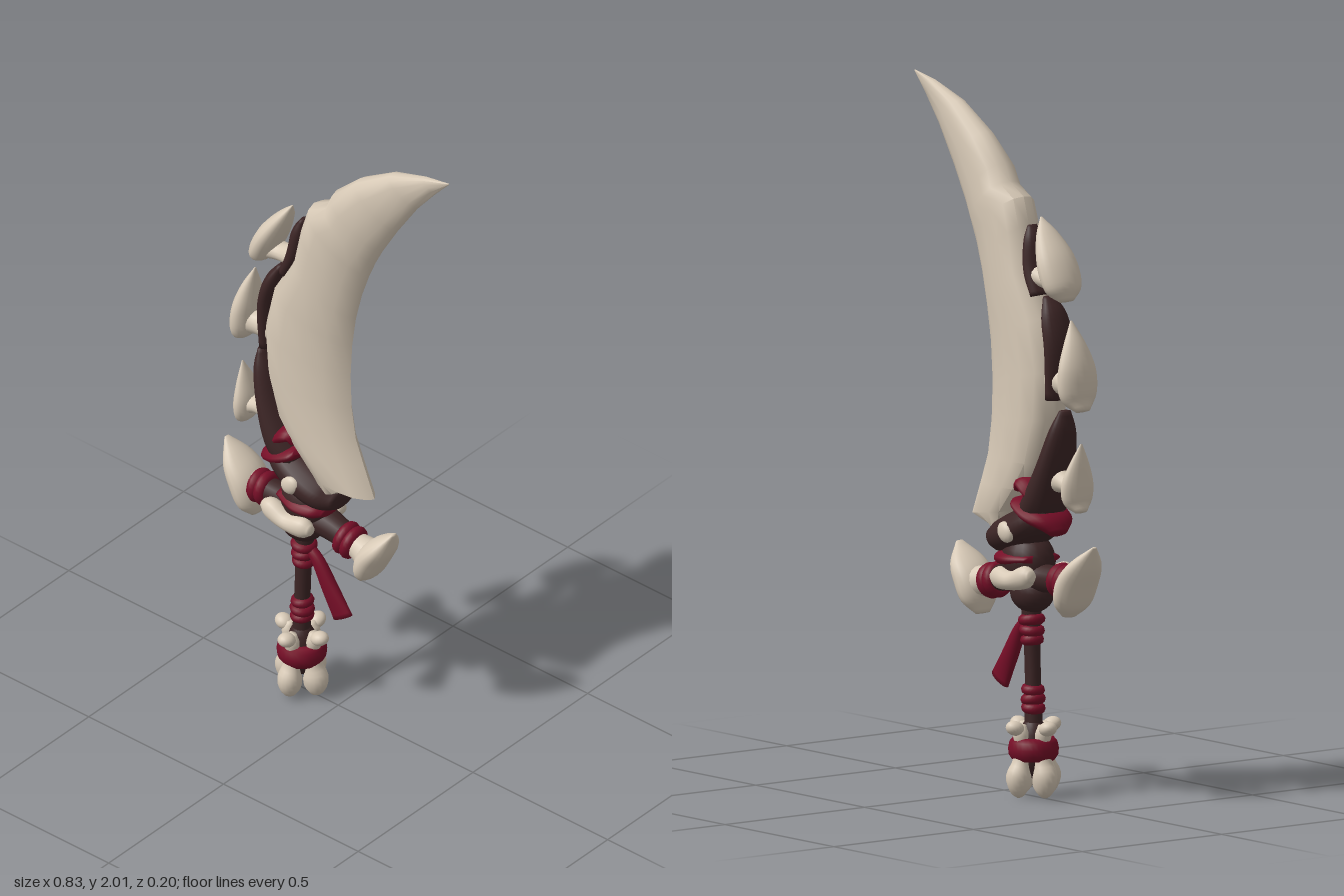
import * as THREE from 'three';
import { mergeVertices, toCreasedNormals } from 'three/addons/utils/BufferGeometryUtils.js';

const material = (name, color) => {
  const m = new THREE.MeshStandardMaterial({ color });
  m.name = name;
  return m;
};

// Closed skin over a list of equal-length rings, capped at both ends
function skin(rings, crease) {
  const n = rings[0].length, pos = [], idx = [];
  rings.forEach(r => r.forEach(p => pos.push(p.x, p.y, p.z)));
  const last = (rings.length - 1) * n;
  for (let i = 0; i < rings.length - 1; i++) {
    for (let j = 0; j < n; j++) {
      const a = i * n + j, b = i * n + (j + 1) % n;
      idx.push(a, b, a + n, b, b + n, a + n);
    }
  }
  [rings[0], rings[rings.length - 1]].forEach((ring, k) => {
    const c = ring.reduce((s, p) => s.add(p), new THREE.Vector3()).divideScalar(n);
    const ci = pos.length / 3, o = k ? last : 0;
    pos.push(c.x, c.y, c.z);
    for (let j = 0; j < n; j++) {
      const a = o + j, b = o + (j + 1) % n;
      if (k) idx.push(a, b, ci); else idx.push(b, a, ci);
    }
  });
  // turn all faces outwards
  const P = i => new THREE.Vector3().fromArray(pos, i * 3);
  let volume = 0;
  for (let i = 0; i < idx.length; i += 3) volume += P(idx[i]).dot(P(idx[i + 1]).cross(P(idx[i + 2])));
  if (volume < 0) idx.reverse();
  let g = new THREE.BufferGeometry();
  g.setAttribute('position', new THREE.Float32BufferAttribute(pos, 3));
  g.setIndex(idx);
  g = mergeVertices(g, 1e-5);
  if (crease) return toCreasedNormals(g, crease);
  g.computeVertexNormals();
  return g;
}

// Elliptical tube in the xy plane through [x, y, radius in plane, radius in z]
function loft(points, z = 0, steps = 20, sides = 18) {
  const path = new THREE.CatmullRomCurve3(points.map(p => new THREE.Vector3(p[0], p[1], z)), false, 'catmullrom');
  const size = new THREE.CatmullRomCurve3(points.map(p => new THREE.Vector3(p[2], p[3], 0)), false, 'catmullrom');
  const rings = [];
  for (let i = 0; i <= steps; i++) {
    const t = i / steps, c = path.getPoint(t), d = path.getTangent(t), s = size.getPoint(t);
    const ring = [];
    for (let j = 0; j < sides; j++) {
      const a = j / sides * Math.PI * 2, r = Math.max(s.x, 0.001) * Math.cos(a);
      ring.push(new THREE.Vector3(c.x - d.y * r, c.y + d.x * r, c.z + Math.max(s.y, 0.001) * Math.sin(a)));
    }
    rings.push(ring);
  }
  return skin(rings);
}

export function createModel() {
  const bone = material('bone', 0xd8cab7);
  const leather = material('dark leather', 0x3c2525);
  const cloth = material('red cloth', 0x760e27);
  const sword = new THREE.Group();
  sword.name = 'boneSword';

  const add = (name, geometry, mat, parent = sword) => {
    const m = new THREE.Mesh(geometry, mat);
    m.name = name;
    parent.add(m);
    return m;
  };
  const blob = (name, mat, p, r, tilt = 0, parent = sword) => {
    const m = add(name, new THREE.SphereGeometry(1, 20, 14), mat, parent);
    m.position.set(...p);
    m.scale.set(...r);
    m.rotation.z = tilt;
    return m;
  };

  // Blade: spine point, edge point, half thickness
  const stations = [
    [-0.03, 0.74, 0.05, 0.77, 0.05], [-0.07, 0.80, 0.135, 0.77, 0.062],
    [-0.14, 0.87, 0.095, 0.87, 0.066], [-0.20, 0.95, 0.065, 0.95, 0.067],
    [-0.24, 1.08, 0.05, 1.05, 0.067], [-0.25, 1.22, 0.046, 1.16, 0.067],
    [-0.215, 1.37, 0.052, 1.27, 0.067], [-0.14, 1.50, 0.066, 1.37, 0.067],
    [-0.115, 1.62, 0.088, 1.46, 0.066], [-0.09, 1.70, 0.115, 1.54, 0.064],
    [-0.025, 1.735, 0.14, 1.60, 0.061], [-0.005, 1.785, 0.165, 1.65, 0.056],
    [0.08, 1.865, 0.22, 1.745, 0.045], [0.20, 1.94, 0.295, 1.86, 0.03],
    [0.32, 1.982, 0.36, 1.94, 0.013], [0.41, 2.0, 0.411, 1.997, 0.002]];
  const profile = [[0, 0], [0.03, 0.5], [0.12, 0.88], [0.3, 1], [0.55, 0.92], [0.78, 0.68], [0.93, 0.32], [1, 0]];
  const loop = [...profile, ...profile.slice(1, -1).reverse().map(([u, h]) => [u, -h])];
  add('blade', skin(stations.map(([sx, sy, ex, ey, h]) => loop.map(([u, w]) =>
    new THREE.Vector3(sx + (ex - sx) * u, sy + (ey - sy) * u, h * w))), 0.8), bone);

  // Spikes on the back: a curved crest on a short stem
  const spikes = [
    [[[-0.288, 1.425, 0.012, 0.025], [-0.272, 1.46, 0.034, 0.062], [-0.24, 1.53, 0.036, 0.066], [-0.2, 1.6, 0.022, 0.04], [-0.17, 1.652, 0.002, 0.003]],
      [[-0.27, 1.475, 0.04, 0.05], [-0.21, 1.475, 0.026, 0.032], [-0.15, 1.485, 0.036, 0.04]]],
    [[[-0.362, 1.12, 0.012, 0.025], [-0.34, 1.16, 0.032, 0.062], [-0.335, 1.23, 0.034, 0.064], [-0.325, 1.3, 0.023, 0.04], [-0.308, 1.372, 0.002, 0.003]],
      [[-0.34, 1.19, 0.05, 0.05], [-0.285, 1.19, 0.036, 0.036], [-0.24, 1.195, 0.045, 0.04], [-0.22, 1.195, 0.025, 0.03]]],
    [[[-0.355, 0.83, 0.01, 0.02], [-0.337, 0.86, 0.024, 0.05], [-0.337, 0.91, 0.026, 0.054], [-0.346, 0.97, 0.016, 0.032], [-0.355, 1.025, 0.002, 0.003]],
      [[-0.345, 0.885, 0.035, 0.04], [-0.3, 0.9, 0.025, 0.03], [-0.25, 0.91, 0.038, 0.036]]]];
  // Guard horns share the same build
  const horns = [
    [[[-0.298, 0.527, 0.012, 0.025], [-0.312, 0.565, 0.035, 0.062], [-0.335, 0.625, 0.042, 0.07], [-0.375, 0.68, 0.03, 0.055], [-0.415, 0.735, 0.004, 0.008]],
      [[-0.335, 0.61, 0.055, 0.055], [-0.295, 0.62, 0.042, 0.042], [-0.26, 0.622, 0.035, 0.035]]],
    [[[0.098, 0.485, 0.01, 0.025], [0.115, 0.525, 0.034, 0.06], [0.135, 0.575, 0.042, 0.068], [0.17, 0.625, 0.032, 0.058], [0.205, 0.678, 0.005, 0.012]],
      [[0.13, 0.565, 0.055, 0.055], [0.09, 0.578, 0.042, 0.042], [0.05, 0.585, 0.034, 0.034]]]];
  [['backSpike', spikes], ['guardHorn', horns]].forEach(([name, list]) => list.forEach(([crest, stem]) => {
    const g = new THREE.Group();
    g.name = name;
    sword.add(g);
    add('crest', loft(crest), bone, g);
    add('stem', loft(stem, 0, 10), bone, g);
  }));

  // Dark binding along the spine
  [[[-0.128, 1.625, 0.008, 0.015], [-0.138, 1.58, 0.022, 0.035], [-0.15, 1.5, 0.025, 0.045], [-0.18, 1.43, 0.02, 0.045]],
    [[-0.205, 1.43, 0.01, 0.02], [-0.232, 1.37, 0.024, 0.045], [-0.252, 1.28, 0.026, 0.05], [-0.25, 1.14, 0.022, 0.045]],
    [[-0.28, 1.11, 0.01, 0.02], [-0.268, 1.05, 0.028, 0.045], [-0.238, 0.95, 0.038, 0.065], [-0.195, 0.85, 0.05, 0.076], [-0.15, 0.79, 0.05, 0.07]]
  ].forEach(p => add('spineBinding', loft(p), leather));

  // Wrapped hub between blade and guard
  add('hub', loft([[-0.215, 0.825, 0.025, 0.045], [-0.18, 0.79, 0.05, 0.076], [-0.1, 0.75, 0.058, 0.09],
    [-0.03, 0.725, 0.052, 0.082], [0.02, 0.72, 0.03, 0.05]]), leather);
  blob('hubCore', leather, [-0.11, 0.66, 0], [0.085, 0.085, 0.075]);
  add('hubBand', loft([[-0.25, 0.755, 0.015, 0.03], [-0.225, 0.785, 0.026, 0.068], [-0.18, 0.805, 0.028, 0.084],
    [-0.13, 0.83, 0.022, 0.078], [-0.115, 0.845, 0.012, 0.06]]), cloth);
  add('upperBand', loft([[-0.2, 0.84, 0.018, 0.065], [-0.17, 0.875, 0.026, 0.075], [-0.14, 0.89, 0.026, 0.072], [-0.122, 0.87, 0.012, 0.06]]), cloth);
  add('lowerBand', loft([[-0.18, 0.675, 0.014, 0.06], [-0.11, 0.67, 0.026, 0.085], [-0.05, 0.668, 0.028, 0.075], [-0.02, 0.665, 0.016, 0.045]]), cloth);

  // Guard arms with red bands
  add('guardArm', loft([[-0.29, 0.622, 0.036, 0.036], [-0.2, 0.62, 0.04, 0.042], [-0.12, 0.615, 0.05, 0.06], [-0.03, 0.607, 0.042, 0.045], [0.06, 0.583, 0.034, 0.034]]), leather);
  [[-0.277, 0.622, 0.05], [0.043, 0.586, -0.2]].forEach(([x, y, tilt]) => [-0.013, 0.013].forEach(d => {
    const ring = add('guardBand', new THREE.TorusGeometry(0.034, 0.018, 10, 24), cloth);
    ring.position.set(x + d, y + d * Math.tan(tilt), 0);
    ring.rotation.set(0, Math.PI / 2, tilt, 'ZYX');
  }));
  blob('guardBase', leather, [-0.13, 0.575, 0], [0.07, 0.06, 0.06]);

  // Bone plates and studs on both faces
  [1, -1].forEach(s => {
    add('guardPlate', loft([[-0.218, 0.635, 0.014, 0.014], [-0.19, 0.63, 0.032, 0.028], [-0.13, 0.612, 0.027, 0.032],
      [-0.07, 0.615, 0.032, 0.028], [-0.04, 0.615, 0.014, 0.014]], s * 0.07), bone);
    blob('stud', bone, [-0.11, 0.75, s * 0.08], [0.033, 0.028, 0.018], 0.7);
  });

  // Grip and its wraps
  add('grip', loft([[-0.125, 0.56, 0.032, 0.032], [-0.127, 0.46, 0.025, 0.025], [-0.132, 0.34, 0.023, 0.023], [-0.137, 0.15, 0.027, 0.027]]), leather);
  [[0.495, 0.028], [0.465, 0.026], [0.437, 0.023], [0.295, 0.023], [0.268, 0.025], [0.243, 0.024]].forEach(([y, r], i) => {
    const ring = add('gripWrap', new THREE.TorusGeometry(r - 0.005, 0.016, 10, 22), cloth);
    ring.position.set(-0.137 + (y - 0.15) * 0.03, y, 0);
    ring.rotation.set(Math.PI / 2, i % 2 ? 0.12 : -0.12, 0);
  });
  add('ribbon', loft([[-0.115, 0.495, 0.014, 0.016], [-0.075, 0.46, 0.02, 0.018], [-0.03, 0.385, 0.028, 0.02], [0.018, 0.305, 0.038, 0.016]]), cloth);

  // Pommel: red collar gripped by four knuckle bones
  const pommel = new THREE.Group();
  pommel.name = 'pommel';
  pommel.position.x = -0.135;
  sword.add(pommel);
  add('collar', new THREE.LatheGeometry([[0.03, 0.095], [0.06, 0.095], [0.07, 0.11], [0.072, 0.128], [0.068, 0.148], [0.058, 0.16], [0.03, 0.16]]
    .map(p => new THREE.Vector2(...p)), 28), cloth, pommel);
  blob('pommelCore', leather, [0, 0.13, 0], [0.045, 0.09, 0.045], 0, pommel);
  for (let i = 0; i < 4; i++) {
    const claw = new THREE.Group();
    claw.name = 'knuckleBone';
    claw.rotation.y = i * Math.PI / 2;
    pommel.add(claw);
    add('knuckle', loft([[0.035, 0.001, 0.008, 0.008], [0.044, 0.012, 0.031, 0.026], [0.053, 0.05, 0.037, 0.035],
      [0.047, 0.09, 0.022, 0.026], [0.042, 0.135, 0.018, 0.022], [0.045, 0.175, 0.022, 0.024], [0.04, 0.2, 0.01, 0.012]]), bone, claw);
    blob('boneEnd', bone, [0.066, 0.19, 0], [0.028, 0.021, 0.025], 0.3, claw);
  }
  return sword;
}
